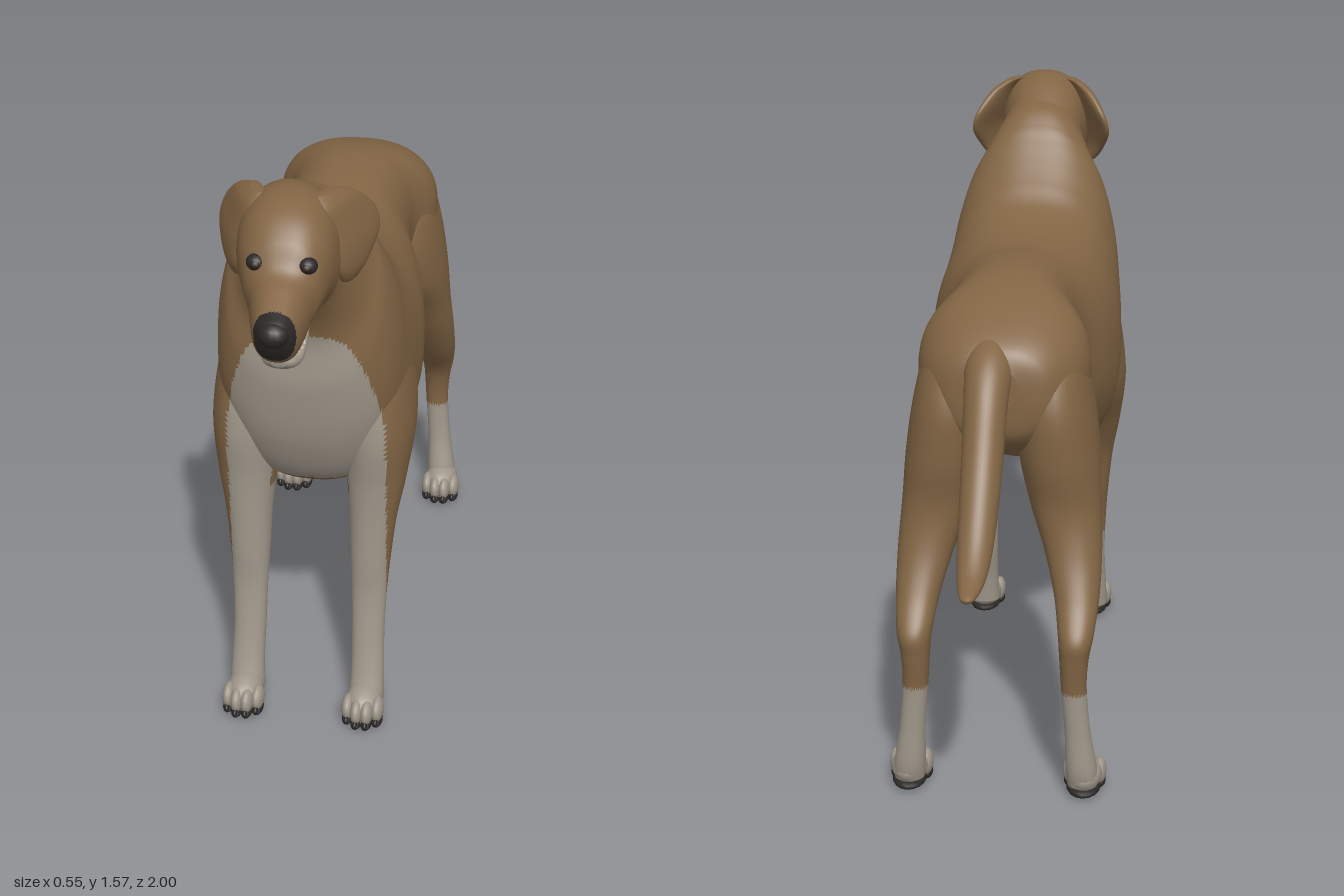
import * as THREE from 'three';

const mat = (name, color) => Object.assign(new THREE.MeshStandardMaterial({ color }), { name });
const tan = mat('tanCoat', 0x826544);
const pale = mat('paleCoat', 0xa0978a);
const dark = mat('darkSkin', 0x2b2826);
const eyeMat = mat('eyeBrown', 0x30231b);
const tooth = mat('toothIvory', 0xd0c8b4);
const tongueMat = mat('tonguePink', 0x96655a);

// Smooth (Catmull-Rom) blend of a list of number rows
function rowAt(rows, t) {
  const i = Math.min(Math.floor(t), rows.length - 2), f = t - i;
  const p = k => rows[Math.max(0, Math.min(rows.length - 1, k))];
  return rows[i].map((b, k) => {
    const a = p(i - 1)[k], c = p(i + 1)[k], d = p(i + 2)[k];
    return b + 0.5 * f * (c - a + f * (2 * a - 5 * b + 4 * c - d + f * (3 * (b - c) + d - a)));
  });
}

const power = (v, n) => Math.sign(v) * Math.abs(v) ** (2 / n);

// Cross-section for body, head and tail: [zTop, yTop, zBottom, yBottom, halfWidth]
const spineRing = (n, xAt = () => 0) => ([zt, yt, zb, yb, w], a) => {
  const c = power(Math.cos(a), n) * w, s = power(Math.sin(a), n) / 2;
  const z = (zt + zb) / 2 + s * (zt - zb);
  return [c + xAt(z), (yt + yb) / 2 + s * (yt - yb), z];
};

// Level cross-section for legs and ears: [y, zFront, zBack, xInner, xOuter];
// splay swings the back edge outward
const levelRing = (side, splay = 0) => ([y, zf, zb, xi, xo], a) => {
  const dz = power(Math.sin(a), 2.2) * (zf - zb) / 2;
  const x = (xi + xo) / 2 + power(Math.cos(a), 2.2) * (xo - xi) / 2 - splay * dz;
  return [side * x, y, (zf + zb) / 2 + dz];
};

// Closed skin through the sections; pick(x, y, z) returns a material index
function loft(name, rows, ring, materials, pick = () => 0, sub = 8, seg = 40) {
  const pos = [], n = (rows.length - 1) * sub;
  for (let i = 0; i <= n; i++) {
    const row = rowAt(rows, i / sub);
    for (let j = 0; j < seg; j++) pos.push(...ring(row, (j / seg) * Math.PI * 2));
  }
  for (const start of [0, n * seg]) {
    const c = [0, 0, 0];
    for (let j = 0; j < seg; j++) for (let k = 0; k < 3; k++) c[k] += pos[(start + j) * 3 + k] / seg;
    pos.push(...c);
  }
  const tris = [], cap = (n + 1) * seg;
  for (let j = 0; j < seg; j++) {
    const q = (j + 1) % seg, e = n * seg;
    tris.push([cap, q, j], [cap + 1, e + j, e + q]);
    for (let i = 0; i < n; i++) {
      const a = i * seg + j, b = i * seg + q;
      tris.push([a, b, b + seg], [a, b + seg, a + seg]);
    }
  }
  // The signed volume tells whether the faces point outward
  const v = k => new THREE.Vector3().fromArray(pos, k * 3);
  let volume = 0;
  const buckets = materials.map(() => []);
  for (const t of tris) {
    const [a, b, c] = t.map(v);
    volume += a.dot(b.clone().cross(c));
    const m = a.add(b).add(c).divideScalar(3);
    buckets[pick(m.x, m.y, m.z)].push(t);
  }
  const g = new THREE.BufferGeometry();
  g.setAttribute('position', new THREE.Float32BufferAttribute(pos, 3));
  const index = [];
  buckets.forEach((list, m) => {
    g.addGroup(index.length, list.length * 3, m);
    for (const [a, b, c] of list) volume > 0 ? index.push(a, b, c) : index.push(a, c, b);
  });
  g.setIndex(index);
  g.computeVertexNormals();
  const mesh = new THREE.Mesh(g, materials);
  mesh.name = name;
  return mesh;
}

const ball = new THREE.SphereGeometry(1, 16, 10);
function blob(name, material, [x, y, z], [rx, ry, rz], tilt = 0) {
  const m = new THREE.Mesh(ball, material);
  m.name = name;
  m.position.set(x, y, z);
  m.scale.set(rx, ry, rz);
  m.rotation.x = tilt;
  return m;
}

// Pale bib and leg fronts
const isBib = (x, y, z) => Math.abs(x) < 0.2 && y < 1.135 - 0.3 * (x / 0.2) ** 4
  && z > 0.43 - Math.max(0, y - 0.6) * 0.15;

function paw(name, x, zBack) {
  const g = new THREE.Group();
  g.name = name;
  g.add(blob('pawBody', pale, [x, 0.05, zBack + 0.07], [0.046, 0.042, 0.066]));
  g.add(blob('pawPad', dark, [x, 0.015, zBack + 0.07], [0.044, 0.015, 0.068]));
  [-0.038, -0.013, 0.013, 0.038].forEach((dx, i) => {
    const z = zBack + (i % 3 ? 0.118 : 0.1);
    g.add(blob('toe', pale, [x + dx, 0.043, z], [0.017, 0.034, 0.036]));
    g.add(blob('toePad', dark, [x + dx, 0.013, z + 0.004], [0.015, 0.013, 0.033]));
    g.add(blob('claw', dark, [x + dx, 0.024, z + 0.032], [0.006, 0.009, 0.013], 0.5));
  });
  return g;
}

export function createModel() {
  const dog = new THREE.Group();
  dog.name = 'dog';

  // Rump, barrel, chest and neck in one skin
  dog.add(loft('torso', [
    [-0.565, 1.1, -0.57, 1.0, 0.05], [-0.54, 1.145, -0.555, 0.92, 0.13],
    [-0.47, 1.19, -0.48, 0.86, 0.19], [-0.36, 1.235, -0.36, 0.86, 0.212],
    [-0.24, 1.26, -0.22, 0.88, 0.168], [-0.1, 1.255, -0.09, 0.78, 0.178],
    [0.03, 1.24, 0.03, 0.685, 0.225], [0.15, 1.25, 0.15, 0.612, 0.25],
    [0.25, 1.285, 0.29, 0.605, 0.246], [0.31, 1.335, 0.42, 0.65, 0.236],
    [0.36, 1.385, 0.505, 0.79, 0.222], [0.4, 1.43, 0.547, 0.97, 0.195],
    [0.43, 1.465, 0.555, 1.12, 0.158], [0.48, 1.505, 0.61, 1.23, 0.122],
    [0.56, 1.53, 0.68, 1.29, 0.1],
  ], spineRing(2.4), [tan, pale], (x, y, z) => (y > 0.66 && isBib(x, y, z) ? 1 : 0), 14, 110));

  // Tail
  dog.add(loft('tail', [
    [-0.45, 1.18, -0.48, 1.05, 0.06], [-0.56, 1.145, -0.54, 1.03, 0.058],
    [-0.64, 1.075, -0.575, 0.99, 0.053], [-0.72, 0.95, -0.63, 0.9, 0.05],
    [-0.79, 0.855, -0.705, 0.81, 0.047], [-0.86, 0.775, -0.8, 0.725, 0.042],
    [-0.925, 0.725, -0.895, 0.683, 0.033], [-0.985, 0.702, -0.98, 0.68, 0.018],
    [-1.0, 0.695, -1.0, 0.688, 0.004],
  ], spineRing(2, () => 0.02), [tan]));

  // Skull and muzzle, turned very slightly to one side
  const turn = z => (z - 0.6) * 0.065 - 0.004;
  dog.add(loft('head', [
    [0.5, 1.51, 0.58, 1.27, 0.1], [0.58, 1.555, 0.64, 1.265, 0.113],
    [0.66, 1.57, 0.7, 1.27, 0.12], [0.74, 1.553, 0.75, 1.295, 0.11],
    [0.8, 1.51, 0.8, 1.293, 0.092], [0.84, 1.455, 0.835, 1.28, 0.074],
    [0.89, 1.43, 0.88, 1.268, 0.064], [0.94, 1.407, 0.92, 1.27, 0.054],
    [0.975, 1.392, 0.95, 1.287, 0.04], [0.993, 1.372, 0.972, 1.32, 0.02],
  ], spineRing(2.3, turn), [tan, dark],
  (x, y, z) => (z > 0.95 - (y - 1.33) * 0.1 || (y < 1.284 && z > 0.8) ? 1 : 0), 10, 56));
  dog.add(blob('nose', dark, [0.02, 1.364, 0.967], [0.036, 0.03, 0.033]));

  // Lower jaw, tongue and teeth
  dog.add(loft('lowerJaw', [
    [0.69, 1.31, 0.7, 1.25, 0.06], [0.75, 1.29, 0.76, 1.232, 0.056],
    [0.82, 1.25, 0.81, 1.208, 0.049], [0.865, 1.253, 0.86, 1.218, 0.037],
    [0.89, 1.256, 0.887, 1.236, 0.016],
  ], spineRing(2.4, turn), [tan, pale], (x, y, z) => (z > 0.76 ? 1 : 0)));
  dog.add(blob('tongue', tongueMat, [0.011, 1.26, 0.825], [0.028, 0.008, 0.055], 0.1));
  const toothShape = new THREE.ConeGeometry(0.006, 0.022, 8);

  for (const side of [1, -1]) {
    const label = side > 0 ? 'left' : 'right';

    for (let i = 0; i < 5; i++) {
      const t = new THREE.Mesh(toothShape, tooth);
      t.name = label + 'Tooth';
      t.position.set(0.012 + side * (0.042 - 0.0016 * i * i), 1.26, 0.79 + 0.021 * i);
      dog.add(t);
    }

    // Eye with a dark rim
    const ex = turn(0.82) + side * 0.058;
    dog.add(blob(label + 'EyeRim', dark, [ex, 1.457, 0.811], [0.023, 0.02, 0.023]));
    dog.add(blob(label + 'Eye', eyeMat, [ex, 1.457, 0.821], [0.015, 0.013, 0.016]));

    // Drooping ear, hinged along its front edge
    dog.add(loft(label + 'Ear', [
      [1.555, 0.66, 0.6, 0.065, 0.095], [1.53, 0.69, 0.56, 0.085, 0.125],
      [1.48, 0.695, 0.52, 0.112, 0.152], [1.43, 0.692, 0.525, 0.13, 0.166],
      [1.38, 0.683, 0.57, 0.128, 0.16], [1.345, 0.66, 0.6, 0.122, 0.148],
      [1.33, 0.635, 0.615, 0.124, 0.136],
    ], levelRing(side, 0.42), [tan]));

    // Front leg with shoulder
    dog.add(loft(label + 'FrontLeg', [
      [1.2, 0.36, 0.24, 0.08, 0.15], [1.1, 0.42, 0.19, 0.08, 0.21],
      [0.95, 0.47, 0.15, 0.08, 0.241], [0.8, 0.485, 0.18, 0.08, 0.256],
      [0.66, 0.47, 0.28, 0.09, 0.24],
      [0.55, 0.465, 0.335, 0.1, 0.22], [0.43, 0.465, 0.365, 0.105, 0.207],
      [0.33, 0.465, 0.395, 0.11, 0.2], [0.22, 0.48, 0.408, 0.113, 0.197],
      [0.12, 0.502, 0.43, 0.115, 0.2], [0.04, 0.53, 0.44, 0.112, 0.203],
    ], levelRing(side), [tan, pale], (x, y, z) =>
      (y < 0.29 || isBib(x, y, z) || (y < 0.62 && Math.abs(x) < 0.135) ? 1 : 0), 10, 48));
    dog.add(paw(label + 'FrontPaw', side * 0.157, 0.445));

    // Hind leg with thigh and hock
    dog.add(loft(label + 'HindLeg', [
      [1.17, -0.34, -0.46, 0.06, 0.13], [1.09, -0.25, -0.52, 0.04, 0.192],
      [0.98, -0.22, -0.56, 0.03, 0.222],
      [0.85, -0.26, -0.56, 0.04, 0.24], [0.73, -0.345, -0.545, 0.07, 0.247],
      [0.62, -0.415, -0.565, 0.11, 0.253], [0.52, -0.485, -0.61, 0.14, 0.252],
      [0.44, -0.55, -0.665, 0.155, 0.243], [0.38, -0.578, -0.665, 0.16, 0.232],
      [0.3, -0.59, -0.655, 0.165, 0.228], [0.18, -0.585, -0.65, 0.174, 0.238],
      [0.08, -0.565, -0.65, 0.176, 0.254], [0.03, -0.56, -0.64, 0.18, 0.256],
    ], levelRing(side), [tan, pale], (x, y) => (y < 0.295 ? 1 : 0)));
    dog.add(paw(label + 'HindPaw', side * 0.22, -0.652));
  }

  // Fold under the belly
  dog.add(blob('bellyFold', tan, [0, 0.845, -0.17], [0.025, 0.03, 0.082], 0.75));
  return dog;
}
